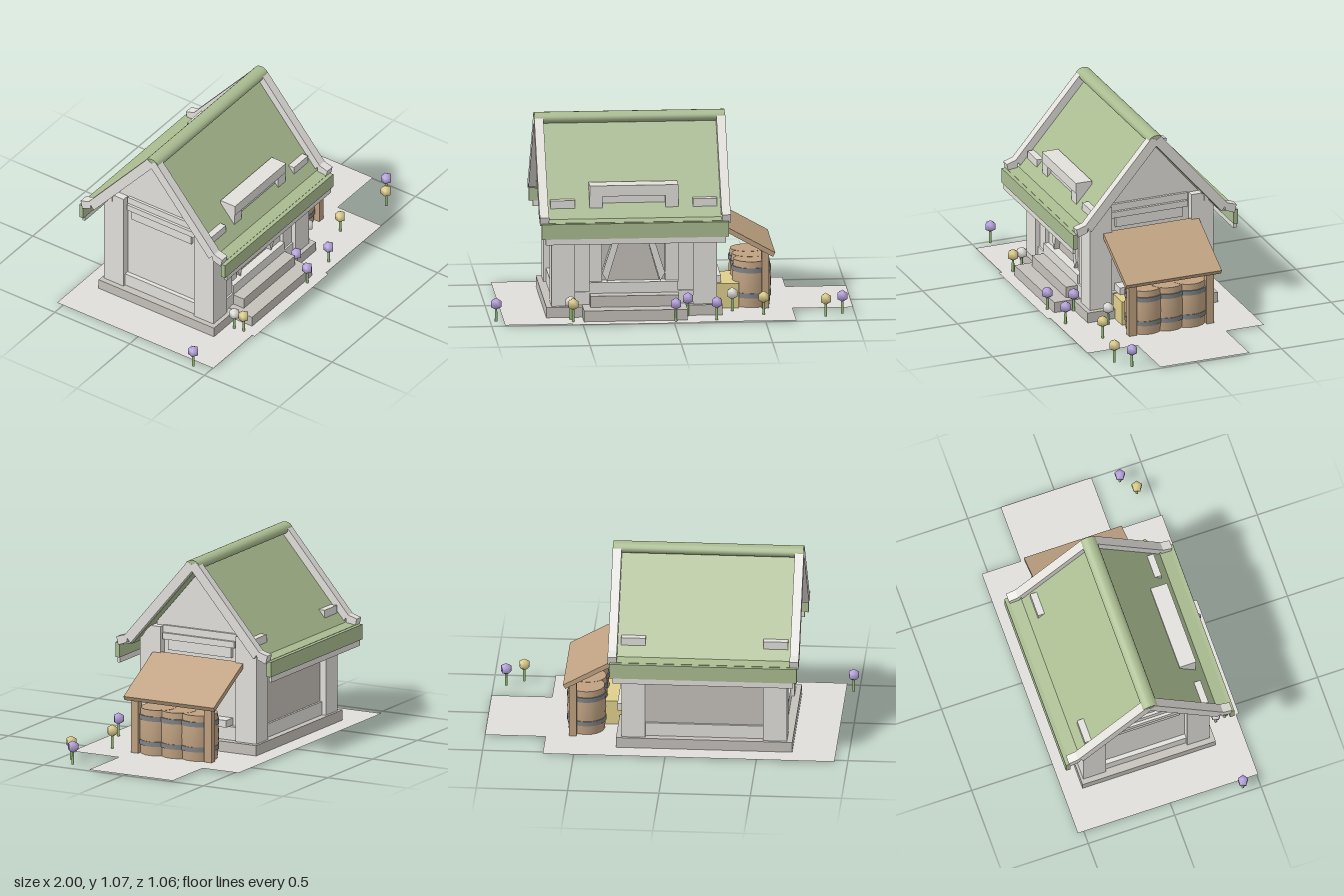
import * as THREE from 'three';

const mat = (name, color, extra = {}) => {
  const m = new THREE.MeshStandardMaterial({ color, ...extra });
  m.name = name;
  return m;
};

export function createModel() {
  const root = new THREE.Group();
  root.name = 'cottage';
  const wall = mat('pale stone', 0xe2e0db);
  const stone = mat('grey stone', 0xc5c1bb);
  const paving = mat('paving', 0xe0deda, { side: THREE.DoubleSide });
  const green = mat('green roofing', 0xaabc91);
  const wood = mat('wood', 0xc0a282);
  const iron = mat('iron', 0x808284);
  const yellow = mat('straw yellow', 0xdfcf8c);
  const purple = mat('purple petal', 0xbaa6e2);
  const stem = mat('stem green', 0x96be78);
  const earth = mat('tan earth', 0xe0b890);

  const add = (name, geo, material, parent = root) => {
    const m = new THREE.Mesh(geo, material);
    m.name = name;
    parent.add(m);
    return m;
  };
  // Box given by its limits along each axis
  const box = (name, material, x0, x1, y0, y1, z0, z1) => {
    const m = add(name, new THREE.BoxGeometry(x1 - x0, y1 - y0, z1 - z0), material);
    m.position.set((x0 + x1) / 2, (y0 + y1) / 2, (z0 + z1) / 2);
    return m;
  };
  const poly = pts => new THREE.Shape(pts.map(p => new THREE.Vector2(...p)));
  const CX = -0.207, CZ = -0.045;
  // Extrude a (z, y) section along x; z is measured from the ridge line
  const alongX = (name, material, pts, x0, x1) => {
    const g = new THREE.ExtrudeGeometry(poly(pts), { depth: x1 - x0, bevelEnabled: false });
    g.rotateY(-Math.PI / 2);
    add(name, g, material).position.set(x1, 0, CZ);
  };

  // Paved ground
  for (const [x0, x1, z0, z1] of [[-0.928, 0.668, -0.535, 0.508], [0.668, 1, -0.31, 0.215], [-0.56, 0.14, 0.508, 0.525]]) {
    const p = add('paving', new THREE.PlaneGeometry(x1 - x0, z1 - z0).rotateX(-Math.PI / 2), paving);
    p.position.set((x0 + x1) / 2, 0.007, (z0 + z1) / 2);
  }
  // Earth mound beneath the steps
  const mound = add('earthMound', new THREE.SphereGeometry(1, 16, 8, 0, Math.PI * 2, Math.PI / 2, Math.PI / 2), earth);
  mound.scale.set(0.3, 0.007, 0.11);
  mound.position.set(-0.21, 0.007, 0.37);

  // Base, plinth and steps
  box('base', stone, -0.69, 0.275, 0.005, 0.065, -0.425, 0.345);
  box('plinth', wall, -0.645, 0.23, 0.065, 0.14, -0.385, 0.305);
  box('lowerStep', stone, -0.492, 0.075, 0.008, 0.068, 0.3, 0.46);
  box('upperStep', stone, -0.45, 0.035, 0.068, 0.13, 0.28, 0.375);
  box('threshold', wall, -0.45, 0.035, 0.13, 0.19, 0.24, 0.305);

  // Wall mass with its gables, kept back at the front for the door recess
  alongX('wallCore', wall, [[-0.32, 0.065], [0.28, 0.065], [0.28, 0.675], [0, 1], [-0.32, 0.625]], -0.62, 0.205);
  box('backPanel', stone, -0.53, 0.115, 0.14, 0.6, -0.372, -0.364);
  for (const s of [-1, 1]) {
    const mirrored = (name, a, b, ...rest) =>
      box(name, wall, CX + Math.min(s * a, s * b), CX + Math.max(s * a, s * b), ...rest);
    mirrored('frontWall', 0.172, 0.41, 0.065, 0.6, 0.23, 0.275);
    mirrored('frontPilaster', 0.242, 0.325, 0.14, 0.59, 0.27, 0.295);
    // Corner pillars, cut to the roof slope
    const p = CX + s * 0.388;
    for (const t of [-1, 1]) {
      const section = [[0.235, 0.065], [0.365, 0.065], [0.365, 0.575], [0.297, 0.655], [0.235, 0.655]];
      alongX('cornerPillar', wall, section.map(([z, y]) => [t * z, y]), p - 0.065, p + 0.065);
    }
  }
  box('lintel', wall, -0.53, 0.115, 0.45, 0.59, 0.23, 0.295);
  box('sideBeams', wall, -0.65, 0.235, 0.584, 0.62, -0.265, 0.185);
  box('tieBeam', wall, -0.635, 0.22, 0.62, 0.66, -0.27, 0.19);
  box('sidePanels', wall, -0.64, 0.225, 0.525, 0.584, -0.24, 0.157);
  box('sideSill', wall, 0.2, 0.28, 0.145, 0.185, -0.24, 0.157);

  // Tapered door and leaning jambs
  const slab = (name, material, pts, z, depth) => {
    const g = new THREE.ExtrudeGeometry(poly(pts), { depth, bevelEnabled: false });
    add(name, g, material).position.set(CX, 0, z);
  };
  slab('doorRecess', stone, [[-0.172, 0.13], [0.172, 0.13], [0.172, 0.46], [-0.172, 0.46]], 0.234, 0.004);
  slab('door', stone, [[-0.142, 0.19], [0.142, 0.19], [0.065, 0.46], [-0.065, 0.46]], 0.235, 0.02);
  for (const s of [-1, 1]) {
    const pts = [[0.172, 0.235], [0.145, 0.19], [0.065, 0.46], [0.1, 0.46]].map(([x, y]) => [s * x, y]);
    slab('doorJamb', wall, pts, 0.235, 0.05);
  }

  // Roof: slopes, gable boards, eaves and blocks, mirrored about the ridge
  const slope = [[0, 1.005], [0.39, 0.55], [0.462, 0.537], [0.465, 0.553], [0.4, 0.56], [0, 1.025]];
  const board = [[0, 1.008], [0.385, 0.56], [0.405, 0.585], [0.409, 0.56], [0.462, 0.54],
    [0.473, 0.587], [0.42, 0.603], [0.028, 1.06], [0, 1.045]];
  for (const s of [-1, 1]) {
    const side = pts => pts.map(([z, y]) => [s * z, y]);
    alongX('roofSlope', green, side(slope), -0.69, 0.28);
    alongX('gableBoard', wall, side(board), -0.73, -0.68);
    alongX('gableBoard', wall, side(board), 0.267, 0.316);
    const eave = (name, m, x0, x1, y0, y1, a, b) =>
      box(name, m, x0, x1, y0, y1, CZ + Math.min(s * a, s * b), CZ + Math.max(s * a, s * b));
    eave('fascia', green, -0.722, 0.303, 0.467, 0.551, 0.461, 0.487);
    eave('gutterBoard', wall, -0.7, 0.287, 0.435, 0.467, 0.466, 0.483);
    eave('roofBlock', wall, -0.665, -0.53, 0.61, 0.654, 0.31, 0.357);
    eave('roofBlock', wall, 0.115, 0.248, 0.61, 0.654, 0.31, 0.357);
  }
  const ridge = add('ridgeCap', new THREE.CylinderGeometry(0.043, 0.043, 1.042, 16).rotateZ(Math.PI / 2), green);
  ridge.scale.y = 0.72;
  ridge.position.set(CX, 1.039, CZ);

  // Roof vent: slab on two end piers with a recessed middle
  box('ventSlab', wall, -0.45, 0.035, 0.675, 0.735, 0.22, 0.316);
  box('ventMiddle', wall, -0.39, -0.025, 0.6, 0.675, 0.2, 0.292);
  box('ventPier', wall, -0.45, -0.38, 0.6, 0.675, 0.2, 0.312);
  box('ventPier', wall, -0.035, 0.035, 0.6, 0.675, 0.2, 0.312);

  // Lean-to shelter
  box('shelterRoof', wood, 0.206, 0.59, 0.395, 0.421, -0.325, 0.24).rotation.z = -0.51;
  for (const z of [0.165, -0.293]) box('shelterPost', wood, 0.5, 0.54, 0.008, 0.335, z, z + 0.045);

  // Barrels with iron hoops
  const profile = [[0.099, 0.004], [0.104, 0.07], [0.107, 0.136], [0.104, 0.2], [0.099, 0.263]]
    .map(p => new THREE.Vector2(...p));
  for (let i = -1; i <= 1; i++) {
    const barrel = new THREE.Group();
    barrel.name = 'barrel';
    barrel.position.set(0.4525, 0, CZ + 0.003 + i * 0.128);
    root.add(barrel);
    add('staves', new THREE.LatheGeometry(profile, 20), wood, barrel);
    add('lid', new THREE.CircleGeometry(0.099, 20).rotateX(-Math.PI / 2), wood, barrel).position.y = 0.262;
    add('bottom', new THREE.CircleGeometry(0.099, 20).rotateX(Math.PI / 2), wood, barrel).position.y = 0.004;
    for (const y of [0.073, 0.214])
      add('hoop', new THREE.CylinderGeometry(0.108, 0.108, 0.027, 20, 1), iron, barrel).position.y = y;
  }
  box('strawBale', yellow, 0.25, 0.378, 0.005, 0.145, -0.12, 0.185);

  // Flowers
  const flowers = [[-0.97, 0.405, purple], [-0.55, 0.445, yellow], [-0.56, 0.39, wall], [0.01, 0.475, purple],
    [0.085, 0.35, purple], [0.235, 0.46, purple], [0.335, 0.25, wall], [0.5, 0.35, yellow],
    [0.835, 0.42, yellow], [0.93, 0.355, purple]];
  for (const [x, z, petal] of flowers) {
    const f = new THREE.Group();
    f.name = 'flower';
    f.position.set(x, 0, z);
    root.add(f);
    add('stem', new THREE.CylinderGeometry(0.007, 0.008, 0.084, 6), stem, f).position.y = 0.048;
    const head = new THREE.SphereGeometry(0.034, 5, 3).rotateY(Math.PI / 10);
    add('flowerHead', head, petal, f).position.y = 0.105;
  }
  return root;
}
